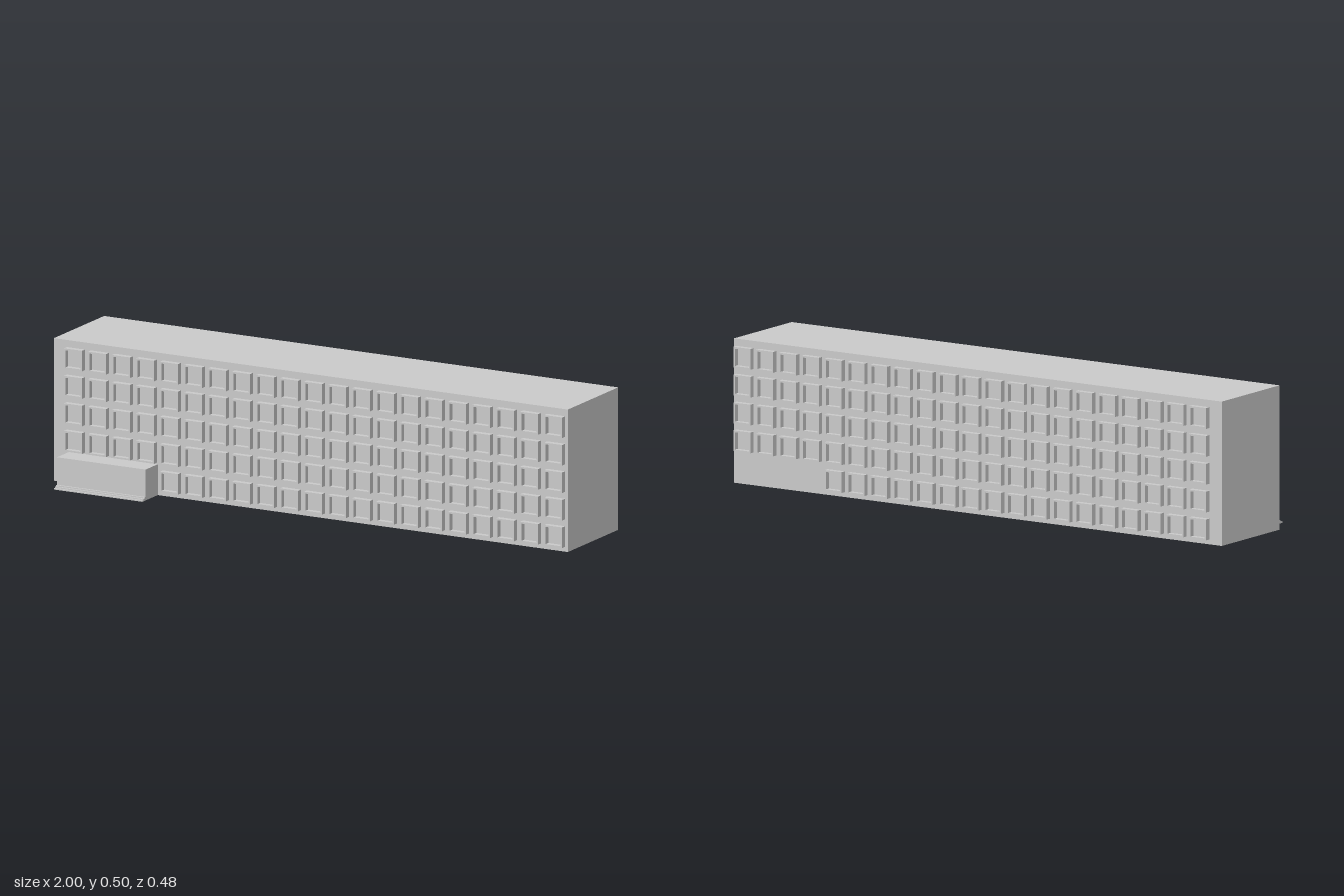
import * as THREE from 'three';

const FRONT = 0.132, BACK = -0.217, HEIGHT = 0.499;
const WIN_W = 0.07, WIN_H = 0.072, BORDER = 0.006;
const WIN_OUT = 0.02, WIN_IN = 0.05; // how far windows stand out of and into the wall

export function createModel() {
  const model = new THREE.Group();
  model.name = 'apartmentBlock';
  const solid = new THREE.MeshStandardMaterial({ color: 0xcccccc });
  const open = new THREE.MeshStandardMaterial({ color: 0xcccccc, side: THREE.DoubleSide });

  const add = (parent, geometry, name, x = 0, y = 0, z = 0, material = solid) => {
    const mesh = new THREE.Mesh(geometry, material);
    mesh.name = name;
    mesh.position.set(x, y, z);
    parent.add(mesh);
  };

  // Box without its underside
  const openBox = (w, h, d) => {
    const geometry = new THREE.BoxGeometry(w, h, d);
    const index = Array.from(geometry.index.array);
    index.splice(18, 6);
    geometry.setIndex(index);
    geometry.clearGroups();
    return geometry;
  };

  // Main block: four walls and a flat roof, open underneath
  add(model, openBox(2, HEIGHT, FRONT - BACK), 'building', 0, HEIGHT / 2, (FRONT + BACK) / 2, open);

  // Window: square frame through the wall around a recessed pane
  const rectangle = (PathType, w, h) => new PathType([
    new THREE.Vector2(-w / 2, -h / 2), new THREE.Vector2(w / 2, -h / 2),
    new THREE.Vector2(w / 2, h / 2), new THREE.Vector2(-w / 2, h / 2),
  ]);
  const innerW = WIN_W - 2 * BORDER, innerH = WIN_H - 2 * BORDER;
  const outline = rectangle(THREE.Shape, WIN_W, WIN_H);
  outline.holes.push(rectangle(THREE.Path, innerW, innerH));
  const frameGeometry = new THREE.ExtrudeGeometry(outline, { depth: WIN_OUT + WIN_IN, bevelEnabled: false });
  frameGeometry.translate(0, 0, -WIN_IN);
  const paneDepth = WIN_IN + 0.002;
  const paneGeometry = new THREE.BoxGeometry(innerW, innerH, paneDepth);
  paneGeometry.translate(0, 0, paneDepth / 2 - WIN_IN);

  const addWindow = (parent, x, y, z, turn) => {
    const win = new THREE.Group();
    win.name = 'window';
    win.position.set(x, y, z);
    win.rotation.y = turn;
    add(win, frameGeometry, 'windowFrame');
    add(win, paneGeometry, 'windowPane');
    parent.add(win);
  };

  // Window grids: each ground floor leaves a four-bay gap at one end
  const frontWindows = new THREE.Group();
  frontWindows.name = 'frontWindows';
  const backWindows = new THREE.Group();
  backWindows.name = 'backWindows';
  model.add(frontWindows, backWindows);
  const columns = 21, rows = 5;
  for (let row = 0; row < rows; row++) {
    const y = 0.053 + row * 0.0963;
    for (let col = 0; col < columns; col++) {
      const x = -0.914 + col * 0.0934;
      if (row > 0 || col >= 4) addWindow(frontWindows, x, y, FRONT, 0);
      if (row > 0 || col < columns - 4) addWindow(backWindows, x, y, BACK, Math.PI);
    }
  }

  // Entrance porch, open underneath, with three shallow steps
  const entrance = new THREE.Group();
  entrance.name = 'entrance';
  entrance.position.x = -0.768;
  model.add(entrance);
  const width = 0.345, porchFront = 0.216, porchHeight = 0.108;
  add(entrance, openBox(width, porchHeight, porchFront - FRONT), 'porch',
    0, porchHeight / 2, (porchFront + FRONT) / 2, open);
  const rise = 0.004, tread = 0.0075;
  for (let i = 0; i < 3; i++) {
    const depth = tread * (3 - i);
    add(entrance, new THREE.BoxGeometry(width, rise, depth), 'step',
      0, rise * (i + 0.5), porchFront + depth / 2);
  }

  return model;
}
